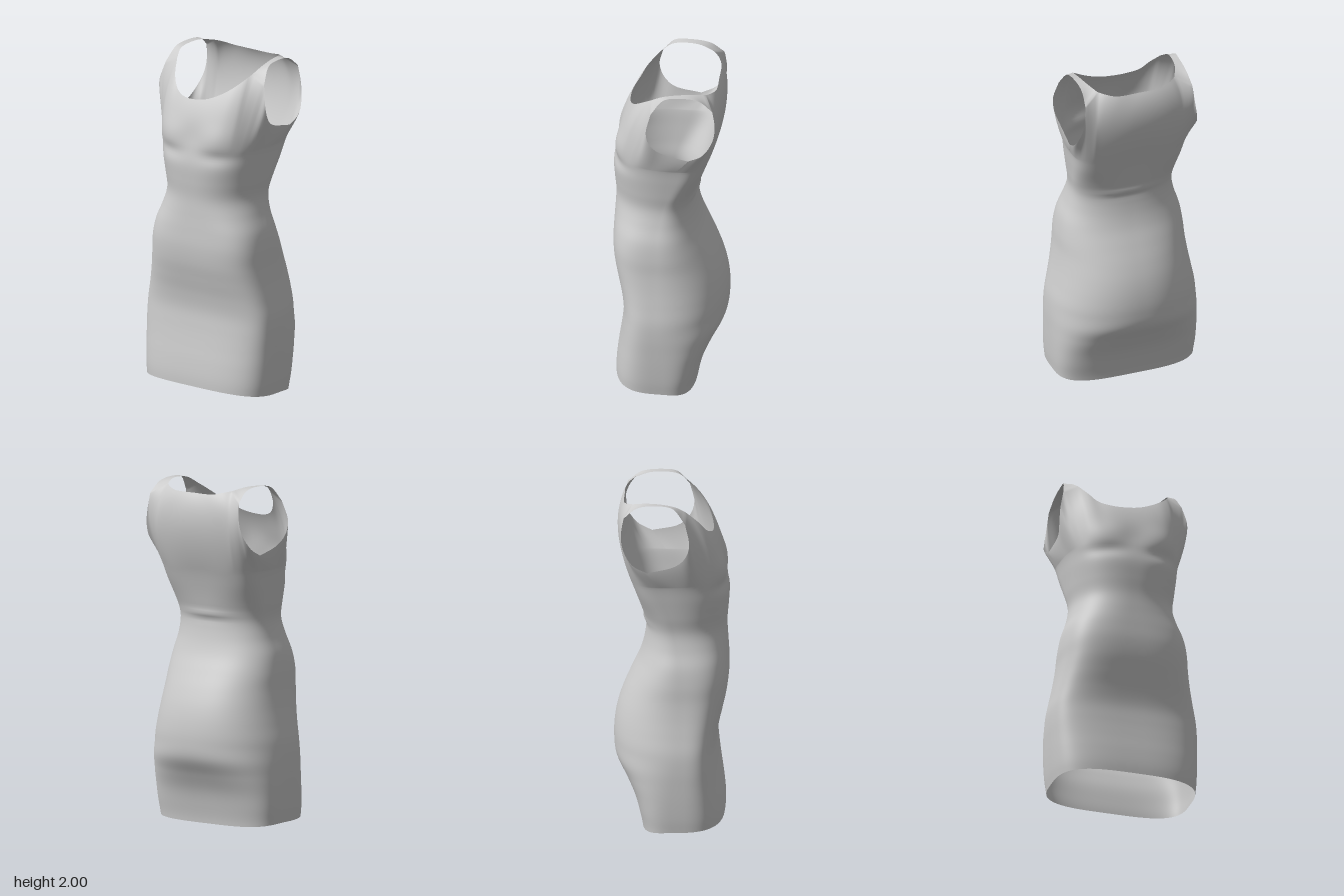
import * as THREE from 'three';
import { mergeVertices, mergeGeometries } from 'three/addons/utils/BufferGeometryUtils.js';

const { smoothstep, clamp, degToRad } = THREE.MathUtils;
const V = (p) => new THREE.Vector3(...p);
const gauss = (d, s) => Math.exp(-(d * d) / (2 * s * s));
const mirror = (pts) => pts.map(([x, y, z]) => [-x, y, z]).reverse();

// Body profile every 0.1 in height: half width, front z, back z
const PROFILE = [
  [0.425, 0.31, -0.165], [0.435, 0.31, -0.185], [0.44, 0.3, -0.215], [0.442, 0.285, -0.265],
  [0.442, 0.272, -0.322], [0.435, 0.265, -0.335], [0.415, 0.277, -0.33], [0.395, 0.3, -0.31],
  [0.38, 0.322, -0.275], [0.372, 0.332, -0.23], [0.355, 0.33, -0.185], [0.322, 0.325, -0.158],
  [0.303, 0.322, -0.15], [0.315, 0.33, -0.175], [0.328, 0.335, -0.205], [0.342, 0.325, -0.24],
  [0.37, 0.315, -0.285],
];
const CHEST = 1.5; // height where the skirt and waist tube meets the bodice

// Edge curves of the bodice, left side
const ARM_FRONT = [[0.378, 1.605, -0.13], [0.372, 1.645, 0.03], [0.385, 1.7, 0.09], [0.387, 1.78, 0.115], [0.36, 1.9, 0.09]];
const ARM_BACK = [[0.333, 1.925, -0.268], [0.342, 1.83, -0.283], [0.358, 1.74, -0.272], [0.38, 1.65, -0.215], [0.378, 1.605, -0.13]];
const SEAM_FRONT = [[0.36, 1.9, 0.09], [0.272, 1.945, 0.092]];
const SEAM_BACK = [[0.24, 1.98, -0.22], [0.333, 1.925, -0.268]];
const NECK_FRONT = [[0.272, 1.945, 0.092], [0.25, 1.918, 0.13], [0.2, 1.87, 0.183], [0.14, 1.83, 0.212], [0.05, 1.79, 0.237],
  [-0.05, 1.775, 0.245], [-0.12, 1.78, 0.237], [-0.185, 1.808, 0.207], [-0.232, 1.87, 0.165], [-0.272, 1.945, 0.092]];
const NECK_BACK = [[-0.24, 1.98, -0.22], [-0.2, 1.97, -0.25], [-0.14, 1.957, -0.272], [0, 1.955, -0.275],
  [0.14, 1.957, -0.272], [0.2, 1.97, -0.25], [0.24, 1.98, -0.22]];
const STRAP_OUTER = [[0.36, 1.9, 0.09], [0.337, 1.985, 0.02], [0.328, 2, -0.06], [0.325, 1.985, -0.19], [0.333, 1.925, -0.268]];
const STRAP_INNER = [[0.272, 1.945, 0.092], [0.293, 1.983, 0.03], [0.288, 1.998, -0.06], [0.273, 1.997, -0.14], [0.24, 1.98, -0.22]];

// Smooth lookup in the profile
function profileAt(y) {
  const f = clamp(y * 10, 0, PROFILE.length - 1.001);
  const i = Math.floor(f), t = f - i;
  const row = (k) => PROFILE[clamp(k, 0, PROFILE.length - 1)];
  return [0, 1, 2].map((c) => {
    const a = row(i - 1)[c], b = row(i)[c], d = row(i + 1)[c], e = row(i + 2)[c];
    return b + 0.5 * t * (d - a + t * (2 * a - 5 * b + 4 * d - e + t * (3 * (b - d) + e - a)));
  });
}

// Rounded cross-section point; angle 0 is the left side, 90 degrees the front
function bodyPoint(phi, y) {
  const [w, front, back] = profileAt(y);
  const mid = 0.05 - 0.1 * smoothstep(y, 1, 1.55);
  const c = Math.cos(phi), s = Math.sin(phi);
  // Squarer at the front, at the back of the hem and across the shoulder blades; round at the waist
  const frontPower = 3.3 + 0.3 * gauss(y - 0.5, 0.15) - 0.5 * smoothstep(y, 0.9, 1.2) - 0.45 * gauss(y - 1.2, 0.14);
  const backPower = 2.25 + 1.4 * (1 - smoothstep(y, 0.1, 0.48)) + 1.2 * smoothstep(y, 1.25, 1.5);
  const e = 2 / (s > 0 ? frontPower : backPower);
  const depth = s > 0 ? front - mid : mid - back;
  return new THREE.Vector3(
    w * Math.sign(c) * Math.abs(c) ** e, y, mid + depth * Math.sign(s) * Math.abs(s) ** e);
}

// Bust fullness, the crease below it, and the fold at the back of the waist
function addFolds(p, phi) {
  const s = Math.sin(phi);
  if (s > 0) {
    const cup = gauss(Math.abs(p.x) - 0.18, 0.08);
    p.z += s * cup * (0.012 * gauss(p.y - 1.57, 0.055) - 0.014 * gauss(p.y - 1.465, 0.028));
    p.z -= s * 0.008 * gauss(p.x, 0.06) * gauss(p.y - 1.56, 0.06);
  } else {
    p.z += s * gauss(p.x, 0.12) * (0.01 * gauss(p.y - 1.23, 0.014) - 0.004 * gauss(p.y - 1.2, 0.014));
  }
  return p;
}

// Surface from rows of points
function gridGeometry(rows) {
  const n = rows[0].length, index = [];
  for (let j = 0; j < rows.length - 1; j++) {
    for (let i = 0; i < n - 1; i++) {
      const a = j * n + i, b = a + 1, c = a + n, d = c + 1;
      index.push(a, c, b, b, c, d);
    }
  }
  const g = new THREE.BufferGeometry().setFromPoints(rows.flat());
  g.setIndex(index);
  return g;
}

// Columns around the dress: angle on the body and end point on the top edge
function topEdge() {
  const segments = [
    [ARM_FRONT, 0, 38, 16], [SEAM_FRONT, 38, 48, 5], [NECK_FRONT, 48, 132, 36],
    [mirror(SEAM_FRONT), 132, 142, 5], [mirror(ARM_FRONT), 142, 180, 16],
    [mirror(ARM_BACK), 180, 220, 16], [mirror(SEAM_BACK), 220, 232, 5], [NECK_BACK, 232, 308, 36],
    [SEAM_BACK, 308, 320, 5], [ARM_BACK, 320, 360, 16],
  ];
  const columns = [];
  for (const [pts, from, to, count] of segments) {
    const curve = new THREE.CatmullRomCurve3(pts.map(V));
    for (let i = columns.length ? 1 : 0; i <= count; i++) {
      const t = i / count;
      columns.push({
        phi: degToRad(from + (to - from) * t),
        end: pts.length === 2 ? V(pts[0]).lerp(V(pts[1]), t) : curve.getPointAt(t),
      });
    }
  }
  return columns;
}

// Bodice column from the chest to the top edge
function bodiceCurve(phi, end) {
  const start = bodyPoint(phi, CHEST);
  const slope = start.clone().sub(bodyPoint(phi, CHEST - 0.02)).multiplyScalar(50);
  const isBack = Math.sin(phi) < 0, side = Math.abs(Math.cos(phi));
  const bend = start.clone().addScaledVector(slope, (isBack ? 0.68 : 0.6) * (end.y - CHEST));
  // Side columns lean out towards the arm edge
  const lean = 0.65 * smoothstep(side, isBack ? 0.45 : 0.6, isBack ? 0.85 : 0.95);
  bend.x += (end.x - bend.x) * lean;
  bend.z += (end.z - bend.z) * lean;
  if (isBack) {
    // Shoulder blades stay full all the way out to the arm edge
    const middleX = 0.25 * (start.x + end.x) + 0.5 * bend.x;
    const middleZ = -0.313 + 0.04 * (middleX / 0.33) ** 2;
    const full = 2 * middleZ - 0.5 * (start.z + end.z);
    bend.z += (full - bend.z) * (1 - smoothstep(side, 0.74, 0.92));
  }
  return new THREE.QuadraticBezierCurve3(start, bend, end);
}

function dressBody() {
  const columns = topEdge(), rows = [];
  // Skirt and waist, with the hem sloping down to the back
  const low = 90, high = 28;
  for (let j = 0; j <= low; j++) {
    rows.push(columns.map(({ phi }) => {
      const hem = 0.027 + 0.024 * Math.sin(phi);
      return addFolds(bodyPoint(phi, hem + (CHEST - hem) * (j / low)), phi);
    }));
  }
  for (let j = 1; j <= high; j++) {
    rows.push(columns.map(({ phi, end }) => {
      const p = bodiceCurve(phi, end).getPoint(j / high);
      return j < high ? addFolds(p, phi) : p;
    }));
  }
  return gridGeometry(rows);
}

// Band over one shoulder
function strap(side) {
  const outer = new THREE.CatmullRomCurve3(STRAP_OUTER.map(V));
  const inner = new THREE.CatmullRomCurve3(STRAP_INNER.map(V));
  const rows = [];
  for (let j = 0; j <= 20; j++) {
    const row = [];
    for (let i = 0; i <= 5; i++) {
      const p = outer.getPoint(j / 20).lerp(inner.getPoint(j / 20), i / 5);
      p.x *= side;
      row.push(p);
    }
    rows.push(side > 0 ? row : row.reverse());
  }
  return gridGeometry(rows);
}

export function createModel() {
  const group = new THREE.Group();
  group.name = 'sleevelessDress';
  // Body and straps are welded so the shading runs across the seams
  const cloth = mergeVertices(mergeGeometries([dressBody(), strap(1), strap(-1)]), 1e-4);
  cloth.computeVertexNormals();
  const dress = new THREE.Mesh(cloth,
    new THREE.MeshStandardMaterial({ color: 0xcccccc, side: THREE.DoubleSide }));
  dress.name = 'dress';
  group.add(dress);
  return group;
}
